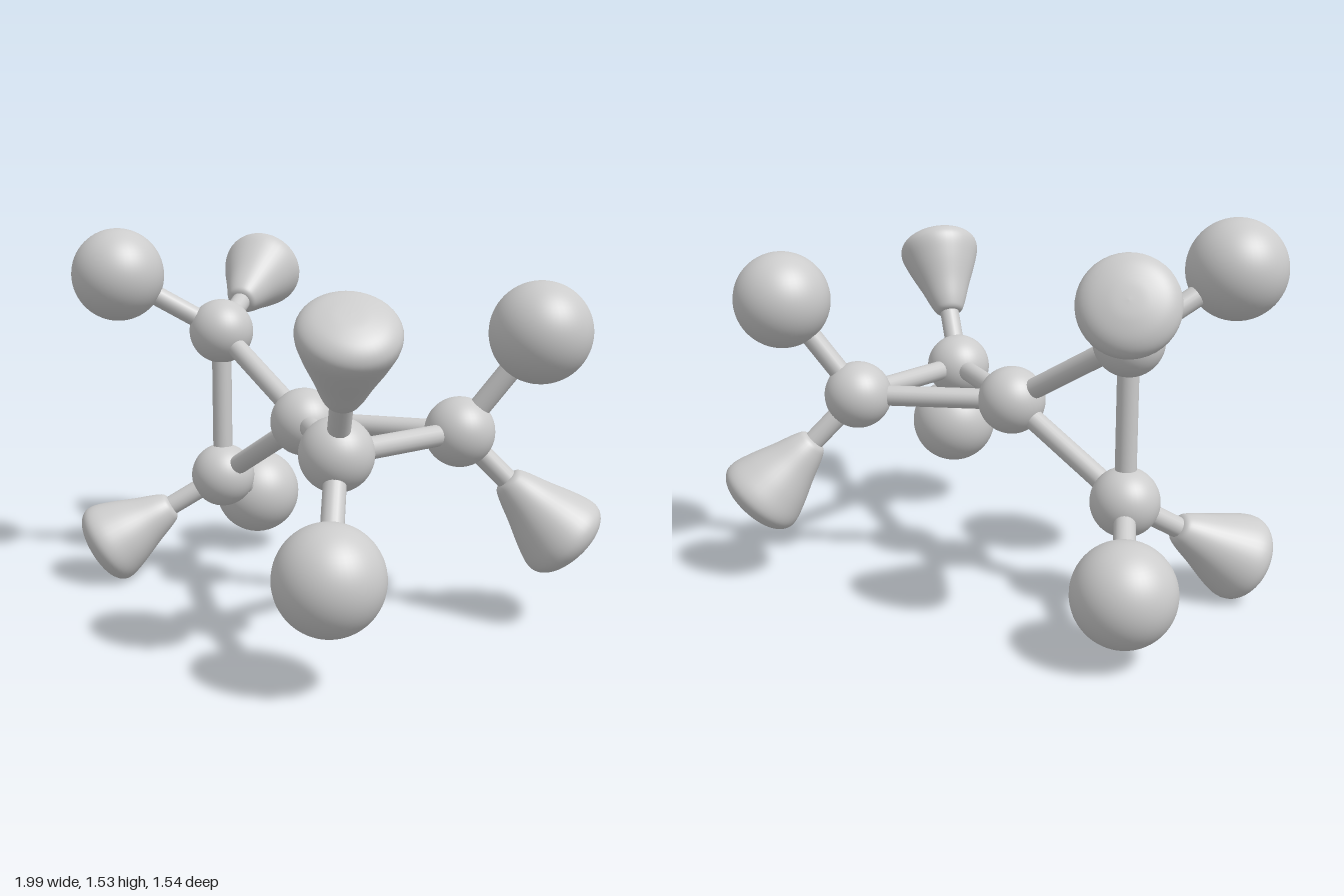
import * as THREE from 'three';

const UP = new THREE.Vector3(0, 1, 0);
const material = new THREE.MeshStandardMaterial({ color: 0xcccccc });
const v = (x, y, z) => new THREE.Vector3(x, y, z);

// Rounded cone, distances measured along +y from the joint it grows from
function budGeometry() {
  const points = [
    [0, 0.26], [0.05, 0.265], [0.075, 0.3], [0.11, 0.39], [0.152, 0.49],
    [0.176, 0.565], [0.169, 0.61], [0.13, 0.643], [0.065, 0.661], [0, 0.665],
  ].map(([r, y]) => new THREE.Vector2(r, y));
  const profile = new THREE.SplineCurve(points).getPoints(50);
  profile.forEach((p) => { p.x = Math.max(p.x, 0); });
  return new THREE.LatheGeometry(profile, 40);
}

export function createModel() {
  const model = new THREE.Group();
  const jointGeometry = new THREE.SphereGeometry(0.137, 40, 28);
  const ballGeometry = new THREE.SphereGeometry(0.195, 48, 32);
  const budShape = budGeometry();

  function add(name, geometry, position, direction) {
    const mesh = new THREE.Mesh(geometry, material);
    mesh.name = name;
    mesh.position.copy(position);
    if (direction) mesh.quaternion.setFromUnitVectors(UP, direction);
    model.add(mesh);
  }

  function addRod(name, a, b) {
    const direction = b.clone().sub(a);
    const length = direction.length();
    const geometry = new THREE.CylinderGeometry(0.042, 0.042, length, 20);
    add(name, geometry, a.clone().lerp(b, 0.5), direction.normalize());
  }

  // Central joint shared by both triangles
  const centre = v(0, 0.77, 0);
  add('centreJoint', jointGeometry, centre);

  // Outer joints, each with one ball and the direction of one bud
  const joints = [
    { name: 'upperRight', at: v(-0.55, 1.09, 0), ball: v(-0.795, 1.335, 0.36), bud: v(-0.48, 0.405, -0.778) },
    { name: 'lowerRight', at: v(-0.55, 0.455, 0), ball: v(-0.8, 0.275, -0.39), bud: v(-0.48, -0.503, 0.718) },
    { name: 'frontLeft', at: v(0.55, 0.77, 0.32), ball: v(0.79, 0.416, 0.567), bud: v(0.48, 0.806, 0.346) },
    { name: 'backLeft', at: v(0.55, 0.77, -0.32), ball: v(0.79, 1.163, -0.494), bud: v(0.48, -0.709, -0.517) },
  ];
  for (const { name, at, ball, bud } of joints) {
    const direction = bud.normalize();
    add(name + 'Joint', jointGeometry, at);
    addRod(name + 'Spoke', centre, at);
    add(name + 'Ball', ballGeometry, ball);
    addRod(name + 'BallRod', at, ball);
    add(name + 'Bud', budShape, at, direction);
    addRod(name + 'BudRod', at, at.clone().addScaledVector(direction, 0.4));
  }

  // Rods closing the two triangles
  addRod('rightTriangleRod', joints[0].at, joints[1].at);
  addRod('leftTriangleRod', joints[2].at, joints[3].at);

  return model;
}
